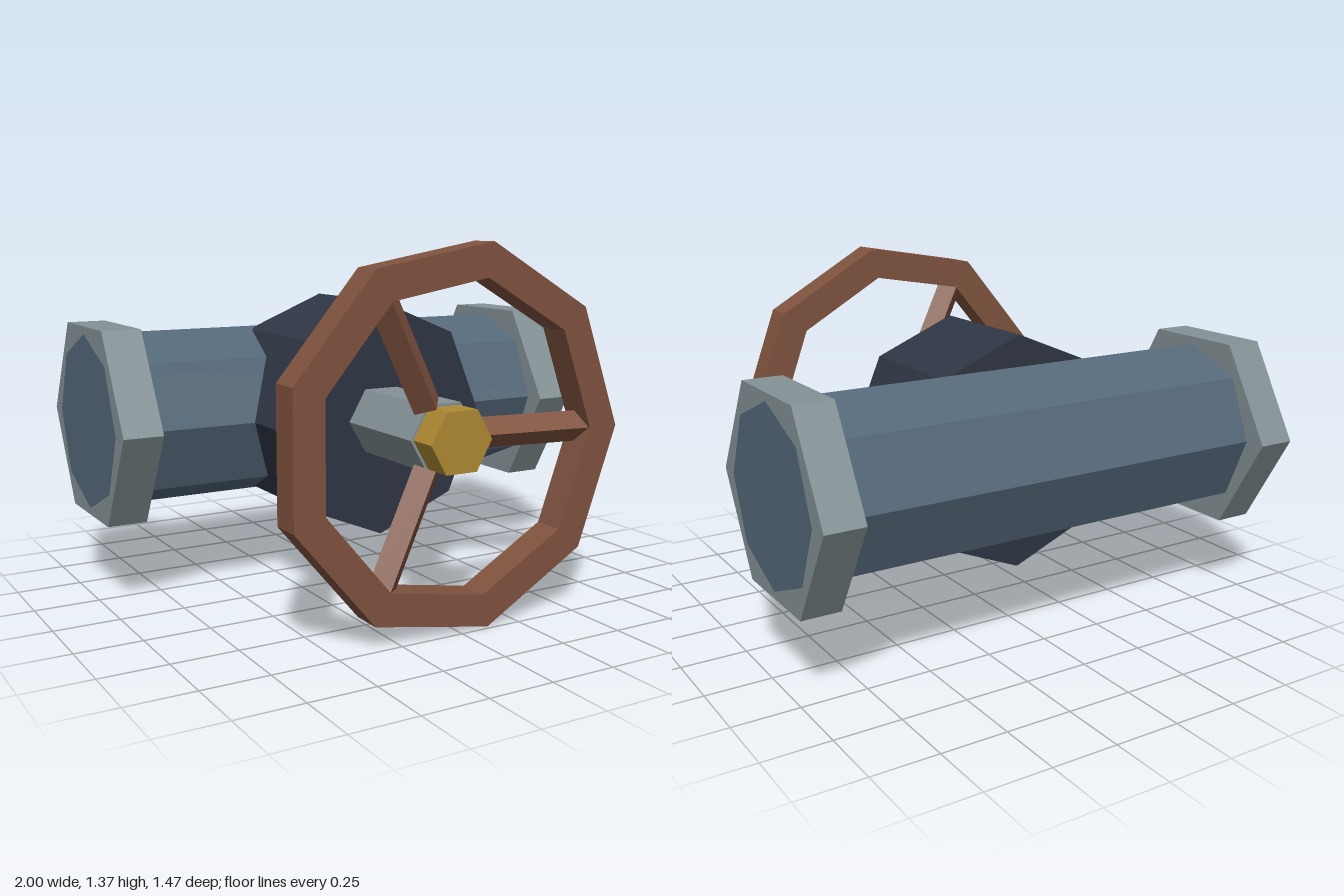
import * as THREE from 'three';

const AXIS_Y = 0.69;   // height shared by pipe, stem and wheel
const PIPE_Z = -0.315;

function material(name, color) {
  const m = new THREE.MeshStandardMaterial({ color });
  m.name = name;
  return m;
}

// Faceted prism with its first corner at the given angle, standing along y.
function prism(radius, length, sides, start = 0) {
  const g = new THREE.CylinderGeometry(radius, radius, length, sides, 1, false, start).toNonIndexed();
  g.computeVertexNormals();
  return g;
}

const alongX = (g) => g.rotateZ(Math.PI / 2);
const alongZ = (g) => g.rotateX(Math.PI / 2);

function polygon(target, radius, sides) {
  const points = [];
  for (let i = 0; i < sides; i++) {
    const a = (i / sides) * Math.PI * 2;
    points.push(new THREE.Vector2(Math.cos(a) * radius, Math.sin(a) * radius));
  }
  return target.setFromPoints(points);
}

export function createModel() {
  const steelBlue = material('steel blue', 0x546879);
  const paleSteel = material('pale steel', 0x849296);
  const darkIron = material('dark iron', 0x2f3644);
  const rust = material('rust brown', 0x80533f);
  const brass = material('brass', 0xb08a33);

  const model = new THREE.Group();
  model.name = 'valve';
  const add = (parent, name, geometry, mat, x, y, z) => {
    const mesh = new THREE.Mesh(geometry, mat);
    mesh.name = name;
    mesh.position.set(x, y, z);
    parent.add(mesh);
    return mesh;
  };

  // Pipe, whose ends sit a hair proud of the flanges
  add(model, 'pipe', alongX(prism(0.335, 2.004, 8)), steelBlue, 0, AXIS_Y, PIPE_Z);
  for (const side of [1, -1]) {
    add(model, side > 0 ? 'leftFlange' : 'rightFlange',
      alongX(prism(0.42, 0.15, 6)), paleSteel, side * 0.925, AXIS_Y, PIPE_Z);
  }

  // Valve body and stem
  add(model, 'valveBody', alongZ(prism(0.455, 0.5, 8)), darkIron, 0, AXIS_Y, -0.06);
  add(model, 'stem', alongZ(prism(0.14, 0.46, 6, Math.PI / 2)), paleSteel, 0, AXIS_Y, 0.39);

  // Hand wheel: nine-sided rim, three tilted spokes, hub nut
  const wheel = new THREE.Group();
  wheel.name = 'handWheel';
  wheel.position.set(0, AXIS_Y, 0.675);
  model.add(wheel);

  const rimShape = polygon(new THREE.Shape(), 0.698, 9);
  rimShape.holes.push(polygon(new THREE.Path(), 0.573, 9));
  const rim = new THREE.ExtrudeGeometry(rimShape, { depth: 0.12, bevelEnabled: false });
  add(wheel, 'rim', rim.translate(0, 0, -0.06), rust, 0, 0, 0);

  const inner = 0.135, outer = 0.6, rise = 0.067;
  const run = outer - inner;
  for (let i = 0; i < 3; i++) {
    const spoke = prism(0.058, Math.hypot(run, rise), 4)
      .rotateX(Math.atan2(rise, run))
      .translate(0, (inner + outer) / 2, -rise / 2);
    add(wheel, 'spoke', spoke, rust, 0, 0, 0).rotation.z = (i * 2 * Math.PI) / 3 - Math.PI / 2;
  }

  add(wheel, 'hubNut', alongZ(prism(0.128, 0.115, 6, Math.PI / 2)), brass, 0, 0, 0);

  return model;
}
